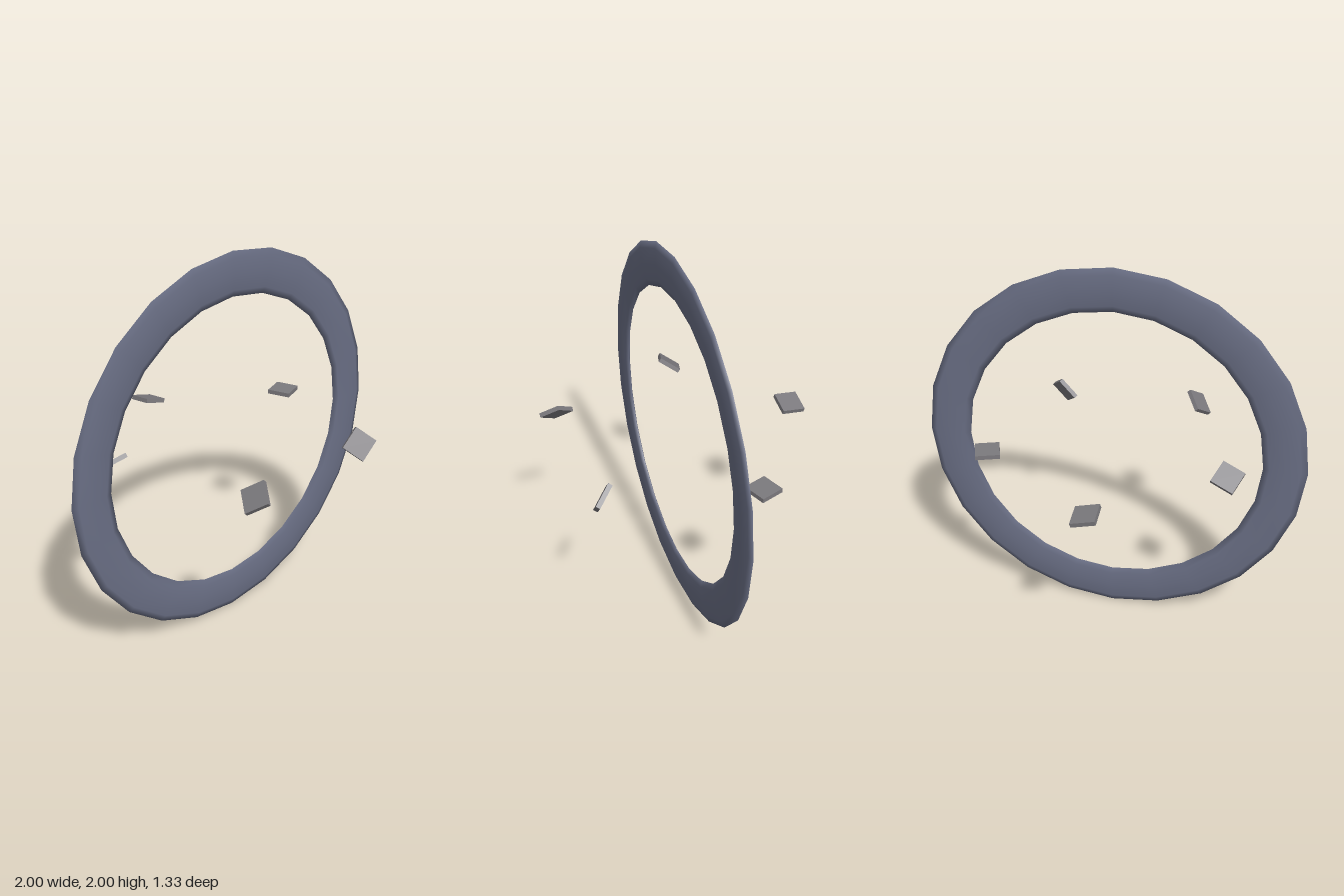
import * as THREE from 'three';

const ringMaterial = new THREE.MeshStandardMaterial({ color: 0x6a6f85 });
const plateMaterial = new THREE.MeshStandardMaterial({ color: 0x7c7a7e });

// Square plate placed by its centre and the directions of two edges
function makePlate(center, edgeU, edgeV) {
  const u = new THREE.Vector3(...edgeU).normalize();
  const n = new THREE.Vector3(...edgeV).cross(u).normalize();
  const v = new THREE.Vector3().crossVectors(u, n);
  const plate = new THREE.Mesh(new THREE.BoxGeometry(0.125, 0.023, 0.125), plateMaterial);
  plate.quaternion.setFromRotationMatrix(new THREE.Matrix4().makeBasis(u, n, v));
  plate.position.set(...center);
  return plate;
}

export function createModel() {
  const model = new THREE.Group();
  model.name = 'ringWithFloatingPlates';

  // Upright ring, squashed almost flat from front to back
  const geometry = new THREE.TorusGeometry(0.888, 0.112, 8, 24);
  geometry.scale(1, 1, 0.145);
  const ring = new THREE.Mesh(geometry, ringMaterial);
  ring.name = 'ring';
  ring.position.set(0, 1, 0.04);
  model.add(ring);

  // Five tumbling plates orbiting the ring's centre
  const plates = [
    [[0.604, 1.04, -0.182], [0.94, 0, -0.34], [0.34, 0, 0.94]],
    [[0.397, 1.036, 0.545], [0.072, -0.077, 0.093], [-0.087, -0.094, -0.005]],
    [[-0.363, 1.038, 0.573], [-0.064, -0.07, 0.096], [-0.06, -0.065, -0.087]],
    [[-0.62, 1.04, -0.143], [0.125, 0.04, 0.036], [-0.038, 0.068, 0.099]],
    [[-0.022, 1.038, -0.607], [0.122, -0.033, 0], [0.003, 0.015, 0.124]],
  ];
  plates.forEach((spec, i) => {
    const plate = makePlate(...spec);
    plate.name = `floatingPlate${i + 1}`;
    model.add(plate);
  });

  return model;
}
